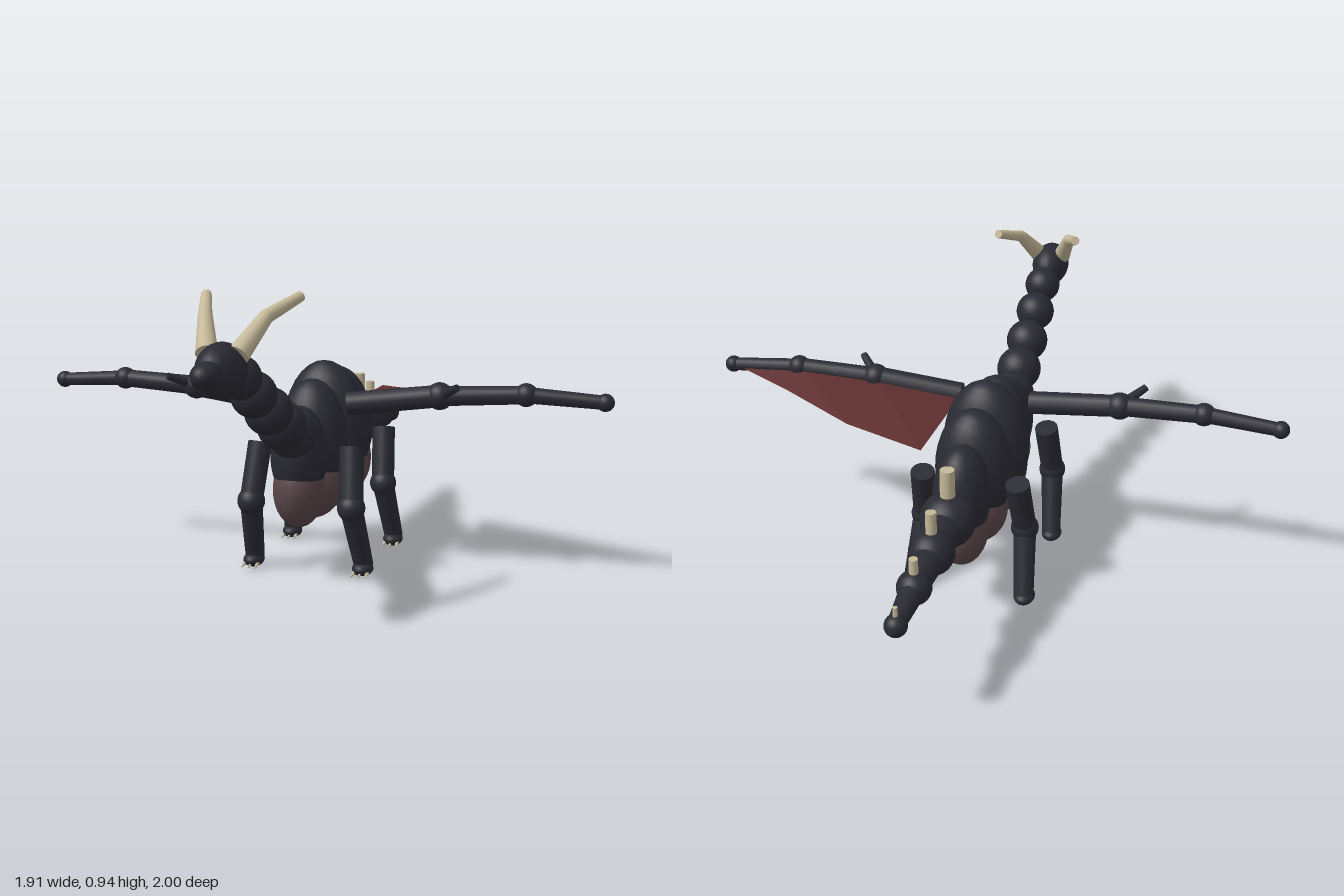
import * as THREE from 'three';

const material = (name, color) => {
  const m = new THREE.MeshStandardMaterial({ color });
  m.name = name;
  return m;
};

export function createModel() {
  const model = new THREE.Group();
  model.name = 'dragon';
  const hide = material('dark hide', 0x2a2a33);
  const bellySkin = material('belly skin', 0x5a464a);
  const wingSkin = material('wing skin', 0x5e2f2f);
  wingSkin.side = THREE.DoubleSide;
  const bone = material('bone', 0xc4b898);

  const add = (name, geometry, mat, parent = model) => {
    const mesh = new THREE.Mesh(geometry, mat);
    mesh.name = name;
    parent.add(mesh);
    return mesh;
  };
  const ball = (name, [x, y, z], [rx, ry, rz], mat, parent) => {
    const mesh = add(name, new THREE.SphereGeometry(1, 24, 16), mat, parent);
    mesh.position.set(x, y, z);
    mesh.scale.set(rx, ry, rz);
    return mesh;
  };
  // Tapered rod from a (radius ra) to b (radius rb)
  const rod = (name, a, b, ra, rb, mat, parent) => {
    const p = new THREE.Vector3(...a), q = new THREE.Vector3(...b);
    const d = q.clone().sub(p);
    const mesh = add(name, new THREE.CylinderGeometry(rb, ra, d.length(), 14), mat, parent);
    mesh.position.copy(p).add(q).multiplyScalar(0.5);
    mesh.quaternion.setFromUnitVectors(new THREE.Vector3(0, 1, 0), d.normalize());
    return mesh;
  };
  const group = (name) => {
    const g = new THREE.Group();
    g.name = name;
    model.add(g);
    return g;
  };

  // Torso: overlapping dark segments, each with a belly lobe [z, top, rx, ry, belly rx]
  const torso = group('torso');
  [
    [0.2, 0.57, 0.09, 0.155, 0.082],
    [0.065, 0.64, 0.115, 0.2, 0.105],
    [-0.07, 0.685, 0.143, 0.235, 0.105],
    [-0.21, 0.65, 0.125, 0.205, 0.11],
    [-0.345, 0.59, 0.09, 0.165, 0.083],
  ].forEach(([z, top, rx, ry, brx]) => {
    ball('bodySegment', [0, top - ry, z], [rx, ry, 0.104], hide, torso);
    ball('bellyLobe', [0, 0.305, z], [brx, 0.125, 0.1], bellySkin, torso);
  });

  // Neck
  const neck = group('neck');
  [
    [0.265, 0.487, 0.076], [0.365, 0.535, 0.077], [0.48, 0.595, 0.073],
    [0.6, 0.66, 0.068], [0.71, 0.722, 0.063],
  ].forEach(([z, y, r]) => ball('neckSegment', [0, y, z], [r, r, r], hide, neck));

  // Head and horns
  const head = group('head');
  ball('skull', [0, 0.757, 0.84], [0.066, 0.076, 0.1], hide, head);
  ball('snout', [0, 0.755, 0.942], [0.04, 0.038, 0.058], hide, head);
  for (const s of [1, -1]) {
    rod('hornBase', [s * 0.045, 0.8, 0.83], [s * 0.09, 0.897, 0.73], 0.031, 0.02, bone, head);
    rod('hornTip', [s * 0.088, 0.893, 0.735], [s * 0.14, 0.94, 0.6], 0.02, 0.015, bone, head);
  }

  // Tail joints with connecting rods and upright spikes [z, y, radius, spike top, spike radius]
  const tail = group('tail');
  const joints = [
    [-0.49, 0.42, 0.086, 0.59, 0.022],
    [-0.65, 0.405, 0.069, 0.54, 0.016],
    [-0.81, 0.39, 0.051, 0.485, 0.013],
    [-0.967, 0.372, 0.033, 0.432, 0.007],
  ];
  rod('tailRoot', [0, 0.43, -0.36], [0, 0.42, -0.49], 0.07, 0.066, hide, tail);
  joints.forEach(([z, y, r, top, sr], i) => {
    ball('tailJoint', [0, y, z], [r, r, r], hide, tail);
    rod('tailSpike', [0, y, z], [0, top, z], sr * 1.1, sr, bone, tail);
    const next = joints[i + 1];
    if (next) rod('tailBone', [0, y, z], [0, next[1], next[0]], r * 0.76, next[2] * 0.78, hide, tail);
  });

  // Four legs: forward knee, foot set back, small claws
  for (const s of [1, -1]) {
    for (const z of [0, -0.395]) {
      const leg = group(z === 0 ? 'frontLeg' : 'hindLeg');
      const knee = [s * 0.168, 0.25, z + 0.187];
      const ankle = [s * 0.187, 0.045, z + 0.105];
      rod('thigh', [s * 0.155, 0.435, z + 0.135], knee, 0.039, 0.038, hide, leg);
      ball('knee', knee, [0.045, 0.045, 0.045], hide, leg);
      rod('shin', knee, ankle, 0.037, 0.032, hide, leg);
      ball('foot', [s * 0.187, 0.036, z + 0.115], [0.034, 0.024, 0.045], hide, leg);
      for (const k of [-1, 0, 1]) {
        const x = s * 0.187 + k * 0.02;
        rod('claw', [x, 0.03, z + 0.135], [x + k * 0.004, 0.02, z + 0.17], 0.008, 0.002, bone, leg);
      }
    }
  }

  // Wing arms on both sides
  const arm = [[0.12, 0.562, 0.06], [0.415, 0.597, 0.042], [0.685, 0.61, 0.027], [0.925, 0.595, 0.015]];
  const thick = [[0.038, 0.036], [0.032, 0.029], [0.026, 0.022]];
  const knob = [0, 0.044, 0.037, 0.028];
  for (const s of [1, -1]) {
    const wing = group(s > 0 ? 'leftWing' : 'rightWing');
    const side = ([x, y, z]) => [s * x, y, z];
    thick.forEach(([ra, rb], i) => {
      rod('wingBone', side(arm[i]), side(arm[i + 1]), ra, rb, hide, wing);
      const r = knob[i + 1];
      ball('wingJoint', side(arm[i + 1]), [r, r, r], hide, wing);
    });
    rod('wingThumb', side([0.42, 0.6, 0.05]), side([0.485, 0.635, 0.12]), 0.017, 0.012, hide, wing);
  }

  // Membrane of the left wing: three panels behind the arm
  const rear = [[0.125, 0.568, -0.36], [0.41, 0.562, -0.245], [0.685, 0.575, -0.09], [0.925, 0.595, 0.02]];
  const corners = [];
  for (let i = 0; i < 3; i++) {
    corners.push(...arm[i], ...arm[i + 1], ...rear[i], ...arm[i + 1], ...rear[i + 1], ...rear[i]);
  }
  const skin = new THREE.BufferGeometry();
  skin.setAttribute('position', new THREE.Float32BufferAttribute(corners, 3));
  skin.computeVertexNormals();
  add('wingMembrane', skin, wingSkin, model.getObjectByName('leftWing'));

  return model;
}
